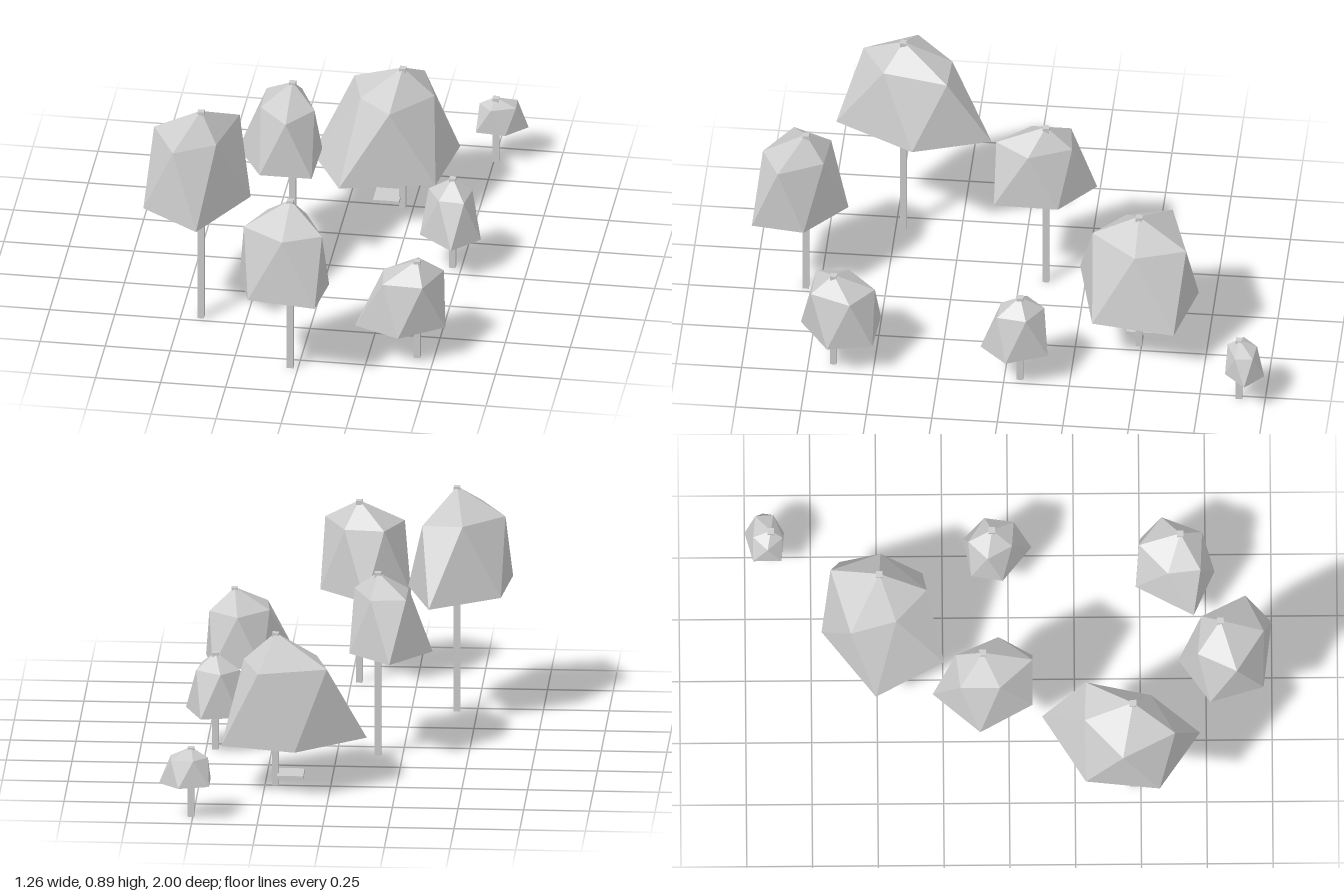
import * as THREE from 'three';

// Each tree: trunk x/z, heights of rim and tip, the canopy's rim corners as
// [x, z] clockwise from above, and how far the shoulder bulges over each rim edge.
const TREES = [
  { x: -0.423, z: 0.47, low: 0.51, top: 0.895, bulge: [0.97, 0.7, 0.9, 0.68, 0.9],
    rim: [[-0.63, 0.57], [-0.6, 0.29], [-0.335, 0.125], [-0.24, 0.42], [-0.405, 0.725]] },
  { x: -0.156, z: -0.1, low: 0.42, top: 0.73, bulge: [0.85, 0.83, 0.9, 1, 0.73],
    rim: [[-0.365, -0.11], [-0.21, -0.29], [-0.05, -0.155], [-0.055, 0.09], [-0.255, 0.09]] },
  { x: -0.03, z: 0.805, low: 0.368, top: 0.725, bulge: [0.87, 0.88, 1, 0.92, 1],
    rim: [[-0.23, 0.765], [-0.06, 0.645], [0.118, 0.8], [0.092, 1], [-0.17, 0.968]] },
  { x: 0.21, z: -0.49, low: 0.198, top: 0.607, bulge: [0.93, 1, 0.7, 0.88, 0.55],
    rim: [[-0.138, -0.505], [0.125, -0.71], [0.408, -0.64], [0.36, -0.325], [0, -0.245]] },
  { x: 0.465, z: -0.06, low: 0.15, top: 0.385, bulge: [0.86, 0.95, 0.87, 0.85, 0.8],
    rim: [[0.345, -0.02], [0.365, -0.14], [0.515, -0.17], [0.58, -0.015], [0.48, 0.09]] },
  { x: 0.435, z: 0.655, low: 0.143, top: 0.417, bulge: [0.78, 0.96, 1, 1.15, 0.85],
    rim: [[0.203, 0.705], [0.32, 0.485], [0.51, 0.5], [0.545, 0.67], [0.38, 0.785]] },
  { x: 0.507, z: -0.9, low: 0.138, top: 0.275, bulge: [0.9, 0.8, 0.9, 0.95, 1],
    rim: [[0.435, -0.86], [0.435, -0.968], [0.55, -1], [0.628, -0.93], [0.55, -0.85]] },
];

// Faceted hollow canopy: tip fan and zigzag band, open underneath
function canopyGeometry({ x, z, low, top, rim, bulge }) {
  const n = rim.length;
  const mid = low + 0.73 * (top - low);
  // Shoulder corners sit over the middle of each rim edge
  const shoulder = rim.map(([ax, az], i) => {
    const [bx, bz] = rim[(i + 1) % n];
    return [x + bulge[i] * ((ax + bx) / 2 - x), mid, z + bulge[i] * ((az + bz) / 2 - z)];
  });
  const points = [...rim.map(([px, pz]) => [px, low, pz]), ...shoulder, [x, top, z]];
  const tip = 2 * n;
  const faces = [];
  for (let i = 0; i < n; i++) {
    const j = (i + 1) % n;
    faces.push(j, i, n + i);
    faces.push(j, n + i, n + j);
    faces.push(tip, n + j, n + i);
  }
  const indexed = new THREE.BufferGeometry();
  indexed.setAttribute('position', new THREE.Float32BufferAttribute(points.flat(), 3));
  indexed.setIndex(faces);
  const geometry = indexed.toNonIndexed();
  geometry.computeVertexNormals();
  return geometry;
}

export function createModel() {
  const grey = new THREE.MeshStandardMaterial({ color: 0xcccccc, flatShading: true, side: THREE.DoubleSide });
  grey.name = 'plainGrey';
  const model = new THREE.Group();
  model.name = 'grove';

  // Square-cut block standing on the given height
  const block = (name, width, height, x, bottom, z) => {
    const mesh = new THREE.Mesh(new THREE.BoxGeometry(width, height, width), grey);
    mesh.name = name;
    mesh.position.set(x, bottom + height / 2, z);
    return mesh;
  };

  TREES.forEach((spec, i) => {
    const tree = new THREE.Group();
    tree.name = `tree${i + 1}`;
    const canopy = new THREE.Mesh(canopyGeometry(spec), grey);
    canopy.name = 'canopy';
    // The square trunk reaches the tip of the canopy
    tree.add(canopy, block('trunk', 0.025, spec.top, spec.x, 0, spec.z));
    model.add(tree);
  });

  // Small flat slab beside the widest tree
  model.add(block('slab', 0.1, 0.013, 0.152, 0.037, -0.49));
  return model;
}
